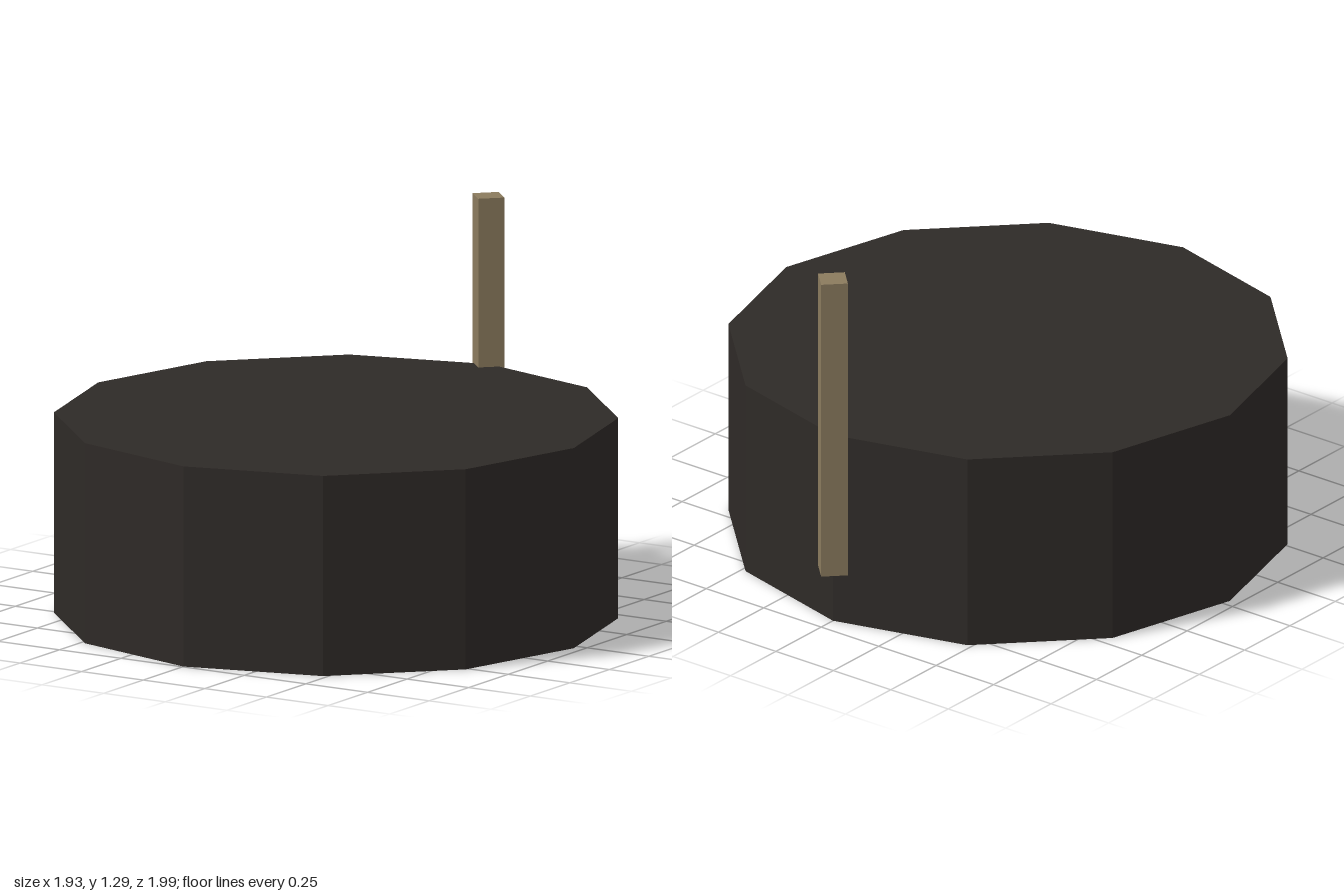
import * as THREE from 'three';

export function createModel() {
  const model = new THREE.Group();
  const bodyMaterial = new THREE.MeshStandardMaterial({ color: 0x2e2a27, flatShading: true, side: THREE.DoubleSide });
  const handleMaterial = new THREE.MeshStandardMaterial({ color: 0x8b7b5e, flatShading: true });

  const radius = 0.965, height = 0.7, sides = 12, recess = 0.08;
  const add = (name, geometry, material, parent) => {
    const mesh = new THREE.Mesh(geometry, material);
    mesh.name = name;
    parent.add(mesh);
    return mesh;
  };

  // Twelve-sided drum, thin-walled at the open underside
  const drum = new THREE.Group();
  drum.name = 'drum';
  drum.position.z = 0.03;
  model.add(drum);

  add('drumWall', new THREE.CylinderGeometry(radius, radius, height, sides, 1, true), bodyMaterial, drum)
    .position.y = height / 2;

  // Top lid, and the base plate set slightly up inside the wall
  const lid = add('drumTop', new THREE.CircleGeometry(radius, sides), bodyMaterial, drum);
  lid.rotation.x = -Math.PI / 2;
  lid.position.y = height;
  const base = add('recessedBase', new THREE.CircleGeometry(radius, sides), bodyMaterial, drum);
  base.rotation.x = Math.PI / 2;
  base.position.y = recess;

  // Square upright post, turned corner-on at the back of the drum
  const side = 0.13 / Math.SQRT2;
  const post = add('uprightPost', new THREE.BoxGeometry(side, 1.1, side), handleMaterial, model);
  post.rotation.y = Math.PI / 4;
  post.position.set(0, 0.74, -0.935);

  return model;
}
